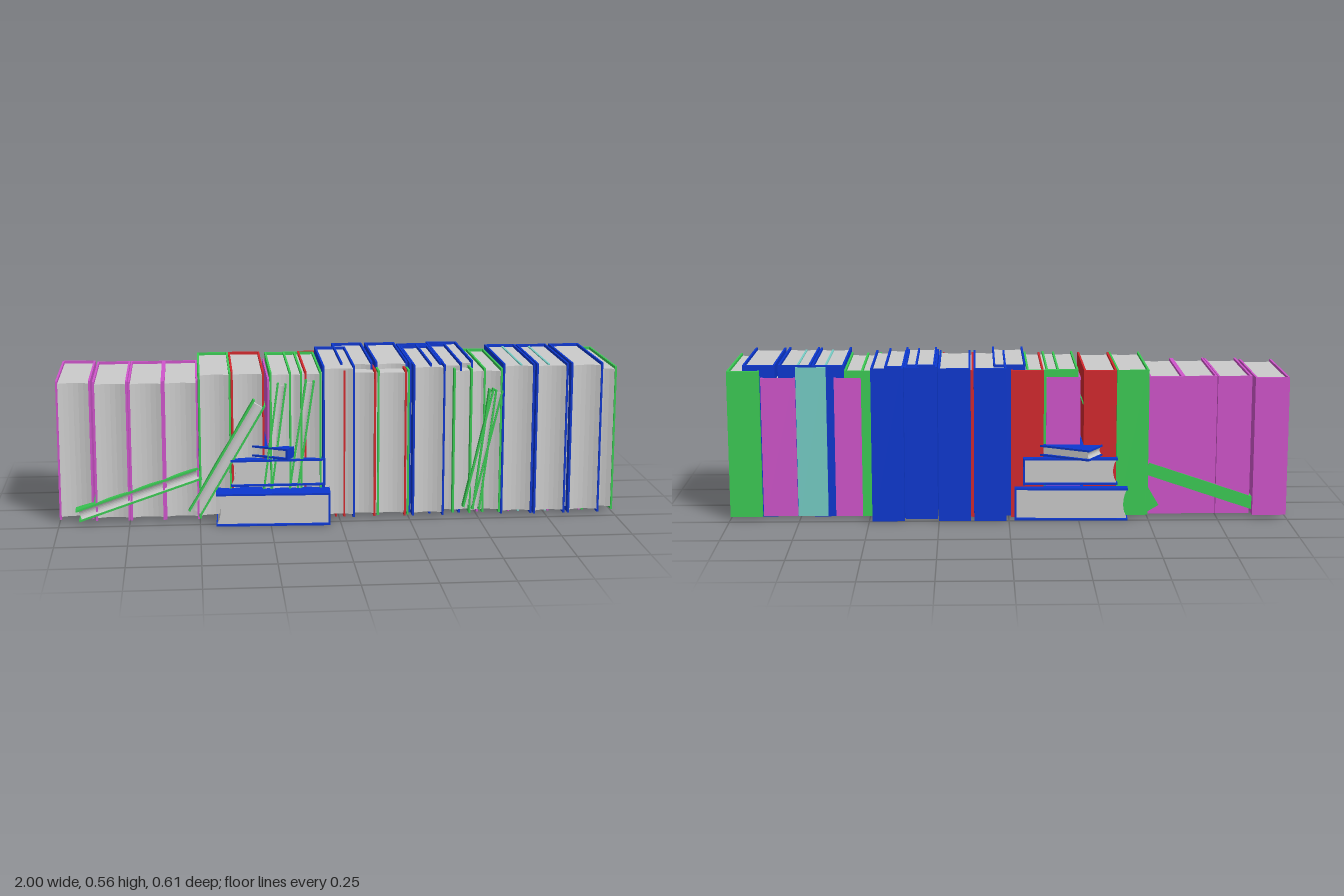
import * as THREE from 'three';

const BOARD = 0.007;   // cover thickness
const INSET = 0.01;    // how far the pages sit below the cover edges
const paper = new THREE.MeshStandardMaterial({ color: 0xcccccc, flatShading: true });

// One book size per colour, with the [centre x, spine z] of each standing copy
const EDITIONS = {
  purple: {
    color: 0xd055cc, size: [0.122, 0.504, 0.405], bottom: 0.01,
    places: [[-0.939, -0.222], [-0.809, -0.195], [-0.685, -0.192], [-0.563, -0.195],
      [-0.195, -0.205], [0.56, -0.208], [0.82, -0.205]],
  },
  green: {
    color: 0x3ccc55, size: [0.115, 0.53, 0.416], bottom: 0.01,
    places: [[-0.443, -0.212], [-0.191, -0.195], [-0.122, -0.2], [0.193, -0.203],
      [0.467, -0.212], [0.527, -0.205], [0.9425, -0.213]],
  },
  red: {
    color: 0xd4282d, size: [0.117, 0.535, 0.415], bottom: 0.005,
    places: [[-0.326, -0.215], [-0.066, -0.214], [0.073, -0.21], [0.182, -0.207]],
  },
  blue: {
    color: 0x0c38d0, size: [0.115, 0.552, 0.413], bottom: 0.006,
    places: [[-0.003, -0.195], [0.067, -0.273], [0.193, -0.273], [0.312, -0.243],
      [0.32, -0.195], [0.383, -0.222], [0.43, -0.271],
      [0.642, -0.195], [0.762, -0.19], [0.888, -0.193]],
  },
  teal: {
    color: 0x76cec6, size: [0.107, 0.542, 0.407], bottom: 0.01,
    places: [[0.703, -0.207]],
  },
};
for (const edition of Object.values(EDITIONS)) {
  edition.material = new THREE.MeshStandardMaterial({ color: edition.color, flatShading: true });
}

// Lying books: thickness, length, width, centre x, y, z, turn
const LYING = [
  ['bottomBook', 0.118, 0.54, 0.405, -0.232, 0.059, 0.02, -0.035],
  ['middleBook', 0.097, 0.465, 0.338, -0.22, 0.177, -0.008, 0],
  ['topBook', 0.04, 0.446, 0.36, -0.235, 0.25, -0.028, -0.52],
];

// Thin leaning books: foot x, y, head x, y, thickness
const LEANING = [
  [-0.935, 0.03, -0.498, 0.178, 0.045],
  [-0.52, 0.03, -0.285, 0.43, 0.05],
  [-0.27, 0.02, -0.205, 0.5, 0.035],
  [-0.18, 0.015, -0.105, 0.51, 0.035],
  [0.465, 0.03, 0.568, 0.465, 0.04],
  [0.495, 0.025, 0.55, 0.465, 0.03],
];

function slab(name, material, w, h, d, x, z) {
  const mesh = new THREE.Mesh(new THREE.BoxGeometry(w, h, d), material);
  mesh.name = name;
  mesh.position.set(x, 0, z);
  return mesh;
}

// A closed upright book centred on its origin: spine at -z, fore edge at +z
function makeBook(name, material, t, h, d) {
  const book = new THREE.Group();
  book.name = name;
  for (const s of [-1, 1]) {
    book.add(slab('coverBoard', material, BOARD, h, d, s * (t - BOARD) / 2, 0));
  }
  book.add(slab('spine', material, t - 2 * BOARD, h, BOARD, 0, -(d - BOARD) / 2));

  // Page block with a hollow fore edge
  const w = t / 2 - BOARD;
  const front = d / 2 - 0.004, back = -d / 2 + BOARD;
  const hollow = Math.min(0.012, w * 0.4);
  const outline = new THREE.Shape();
  outline.moveTo(-w, -back);
  outline.lineTo(-w, -front);
  outline.quadraticCurveTo(0, -front + hollow * 2, w, -front);
  outline.lineTo(w, -back);
  const geometry = new THREE.ExtrudeGeometry(outline, {
    depth: h - 2 * INSET, bevelEnabled: false, curveSegments: 6,
  });
  geometry.rotateX(-Math.PI / 2);
  const pages = new THREE.Mesh(geometry, paper);
  pages.name = 'pages';
  pages.position.y = -h / 2 + INSET;
  book.add(pages);
  return book;
}

export function createModel() {
  const group = new THREE.Group();
  group.name = 'bookRow';

  for (const [key, { material, size, bottom, places }] of Object.entries(EDITIONS)) {
    for (const [x, spineZ] of places) {
      const book = makeBook(key + 'Book', material, ...size);
      book.position.set(x, bottom + size[1] / 2, spineZ + size[2] / 2);
      group.add(book);
    }
  }

  // Lying books: height runs along z, thickness along y, spine faces +x
  const layDown = new THREE.Matrix4().makeBasis(
    new THREE.Vector3(0, 1, 0), new THREE.Vector3(0, 0, -1), new THREE.Vector3(-1, 0, 0));
  for (const [name, t, length, width, x, y, z, turn] of LYING) {
    const book = makeBook(name, EDITIONS.blue.material, t, length, width);
    book.applyMatrix4(layDown);
    book.rotateOnWorldAxis(new THREE.Vector3(0, 1, 0), turn);
    book.position.set(x, y, z);
    group.add(book);
  }

  for (const [x0, y0, x1, y1, t] of LEANING) {
    const book = makeBook('leaningBook', EDITIONS.green.material, t, Math.hypot(x1 - x0, y1 - y0), 0.416);
    book.position.set((x0 + x1) / 2, (y0 + y1) / 2, 0.01);
    book.rotation.z = -Math.atan2(x1 - x0, y1 - y0);
    group.add(book);
  }
  return group;
}
